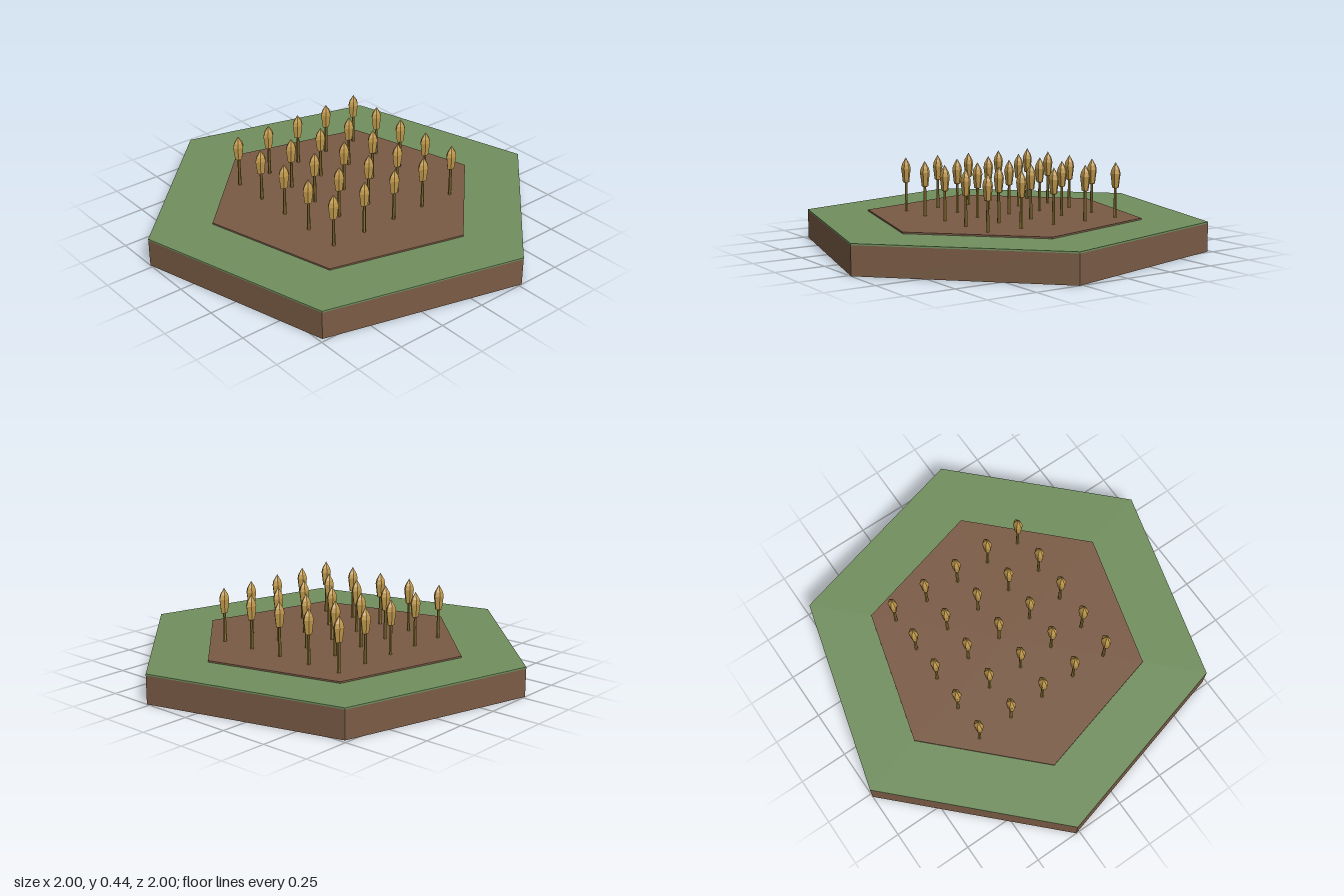
import * as THREE from 'three';

const flat = (name, color) => {
  const m = new THREE.MeshStandardMaterial({ color });
  m.name = name;
  return m;
};

export function createModel() {
  const soil = flat('soil brown', 0x7a5b45);
  const grass = flat('grass green', 0x718f5e);
  const stalk = flat('stalk olive', 0x8a7232);
  const grain = flat('grain gold', 0xc29a4c);

  const model = new THREE.Group();
  model.name = 'cropTile';

  const add = (parent, name, geometry, material, y = 0) => {
    const flatGeometry = geometry.index ? geometry.toNonIndexed() : geometry;
    flatGeometry.computeVertexNormals();
    const mesh = new THREE.Mesh(flatGeometry, material);
    mesh.name = name;
    mesh.position.y = y;
    parent.add(mesh);
    return mesh;
  };

  // Hexagonal slabs, all turned by 15 degrees
  const slab = (name, radius, bottom, top, material) =>
    add(model, name,
      new THREE.CylinderGeometry(radius, radius, top - bottom, 6, 1, false, Math.PI / 12),
      material, (top + bottom) / 2);
  slab('soilBase', 1.035, 0, 0.142, soil);
  slab('grassLayer', 1.035, 0.142, 0.15, grass);
  slab('tilledBed', 0.707, 0.15, 0.158, soil);

  // One stalk and one faceted ear, shared by every plant
  const stemGeometry = new THREE.CylinderGeometry(0.007, 0.009, 0.165, 6);
  const earProfile = [[0, 0.3], [0.02, 0.308], [0.03, 0.378], [0.024, 0.4], [0, 0.435]]
    .map(([r, y]) => new THREE.Vector2(r, y));
  const earGeometry = new THREE.LatheGeometry(earProfile, 6, Math.PI / 6);
  earGeometry.scale(1.05, 1, 0.74);

  // Five by five planting grid
  for (let row = 0; row < 5; row++) {
    for (let col = 0; col < 5; col++) {
      const plant = new THREE.Group();
      plant.name = 'plant';
      plant.position.set(-0.357 + col * 0.1905, 0, -0.408 + row * 0.1905);
      add(plant, 'stem', stemGeometry, stalk, 0.2325);
      add(plant, 'ear', earGeometry, grain);
      model.add(plant);
    }
  }
  return model;
}
